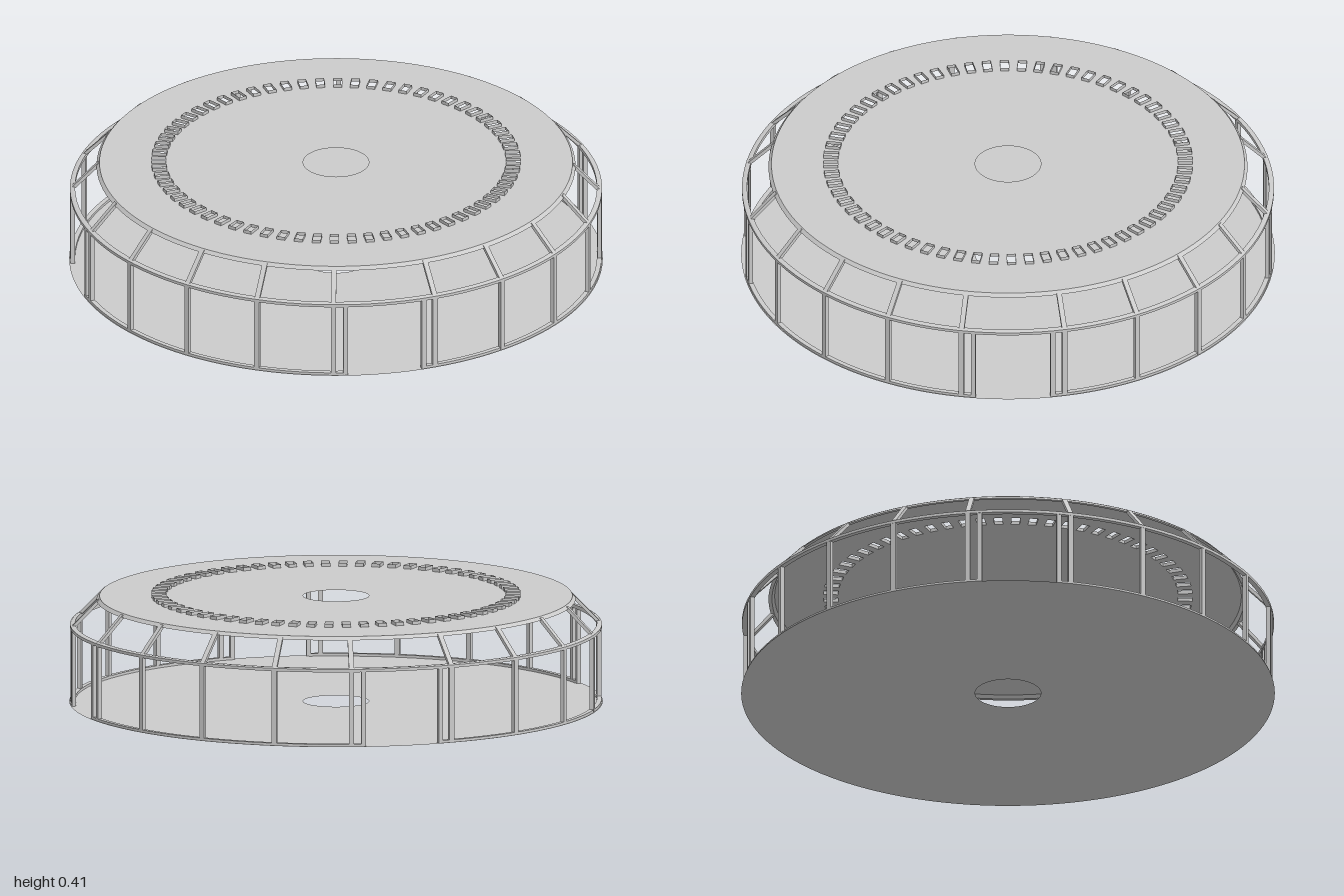
import * as THREE from 'three';
import { toCreasedNormals } from 'three/addons/utils/BufferGeometryUtils.js';

const DEG = Math.PI / 180;
const WALL_R = 0.985, EAVE_Y = 0.29, ROOF_R = 0.888, ROOF_Y = 0.4, HOLE_R = 0.123;
const SLOTS = 64, SLOT_IN = 0.635, SLOT_OUT = 0.69, SLOT_W = 0.032, SLOT_H = 0.013;

const grey = new THREE.MeshStandardMaterial({ color: 0xcccccc });
const greyThin = new THREE.MeshStandardMaterial({ color: 0xcccccc, side: THREE.DoubleSide });

export function createModel() {
  const model = new THREE.Group();

  const add = (name, geometry, material = grey, parent = model) => {
    const mesh = new THREE.Mesh(geometry, material);
    mesh.name = name;
    parent.add(mesh);
    return mesh;
  };

  // Ring or arc swept from a closed section of [radius, height] corners
  const ring = (section, start = 0, length = 360) => {
    const pts = [...section, section[0]].map(([r, y]) => new THREE.Vector2(r, y));
    const steps = Math.round(length / 3);
    return toCreasedNormals(new THREE.LatheGeometry(pts, steps, start * DEG, length * DEG), 0.5);
  };

  // Flat disc with a round hole and optional further holes
  const disc = (radius, holes = []) => {
    const shape = new THREE.Shape().absarc(0, 0, radius, 0, Math.PI * 2);
    shape.holes.push(new THREE.Path().absarc(0, 0, HOLE_R, 0, Math.PI * 2, true), ...holes);
    return new THREE.ShapeGeometry(shape, 64).rotateX(-Math.PI / 2);
  };

  // Square bar between two [radius, height] points, turned to an angle from +z
  const bar = (name, [r0, y0], [r1, y1], angle, width, depth) => {
    const length = Math.hypot(r1 - r0, y1 - y0);
    const geometry = new THREE.BoxGeometry(width, length, depth);
    geometry.rotateX(Math.atan2(r1 - r0, y1 - y0));
    geometry.translate(0, (y0 + y1) / 2, (r0 + r1) / 2);
    geometry.rotateY(angle * DEG);
    return add(name, geometry);
  };

  // Floor and its sill, left open at the four doorways
  add('floor', disc(0.997), greyThin);
  const jamb = 8.65;
  for (let q = 0; q < 4; q++) {
    add('sill', ring([[0.993, 0], [0.993, 0.01], [0.975, 0.01], [0.975, 0]],
      q * 90 + jamb, 90 - 2 * jamb));
  }

  // Eave ring on top of the wall posts
  add('eaveRing', ring([[0.994, 0.283], [0.994, 0.294], [0.988, 0.297], [0.975, 0.297], [0.975, 0.283]]));

  // Wall posts with sloping rafters, five to a quarter, and door jambs
  for (let q = 0; q < 4; q++) {
    for (let i = 0; i < 5; i++) {
      const angle = q * 90 + 11.25 + i * 16.875;
      bar('wallPost', [WALL_R, 0], [WALL_R, EAVE_Y], angle, 0.019, 0.016);
      bar('rafter', [WALL_R, EAVE_Y], [ROOF_R - 0.003, ROOF_Y - 0.007], angle, 0.019, 0.012);
    }
    for (const side of [-1, 1]) {
      bar('doorJamb', [WALL_R, 0], [WALL_R, EAVE_Y], q * 90 + side * jamb, 0.018, 0.016);
    }
  }

  // Sloped ring around the roof edge
  add('roofRing', ring([[0.882, 0.387], [0.895, 0.387], [0.882, 0.4], [0.872, 0.399]]));

  // Flat roof pierced by a circle of small vents
  const corners = [
    [SLOT_IN, -SLOT_W / 2], [SLOT_IN, SLOT_W / 2], [SLOT_OUT, SLOT_W / 2], [SLOT_OUT, -SLOT_W / 2],
  ];
  const vents = [];
  const axis = new THREE.Vector2();
  for (let i = 0; i < SLOTS; i++) {
    const angle = (i / SLOTS) * Math.PI * 2;
    vents.push(new THREE.Path(corners.map(([x, y]) => new THREE.Vector2(x, y).rotateAround(axis, angle))));
  }
  add('roof', disc(0.884, vents).translate(0, ROOF_Y, 0), greyThin);

  // Thin upstand walls around each vent
  const upstands = new THREE.Group();
  upstands.name = 'ventUpstands';
  model.add(upstands);
  const long = SLOT_OUT - SLOT_IN;
  const mid = (SLOT_OUT + SLOT_IN) / 2;
  const sideWall = new THREE.PlaneGeometry(long, SLOT_H);
  const endWall = new THREE.PlaneGeometry(SLOT_W, SLOT_H).rotateY(Math.PI / 2);
  for (let i = 0; i < SLOTS; i++) {
    const vent = new THREE.Group();
    vent.name = 'ventUpstand';
    vent.rotation.y = (i / SLOTS) * Math.PI * 2;
    upstands.add(vent);
    for (const s of [-1, 1]) {
      add('ventSide', sideWall, greyThin, vent).position.set(mid, ROOF_Y + SLOT_H / 2, s * SLOT_W / 2);
      add('ventEnd', endWall, greyThin, vent).position.set(mid + s * long / 2, ROOF_Y + SLOT_H / 2, 0);
    }
  }

  return model;
}
